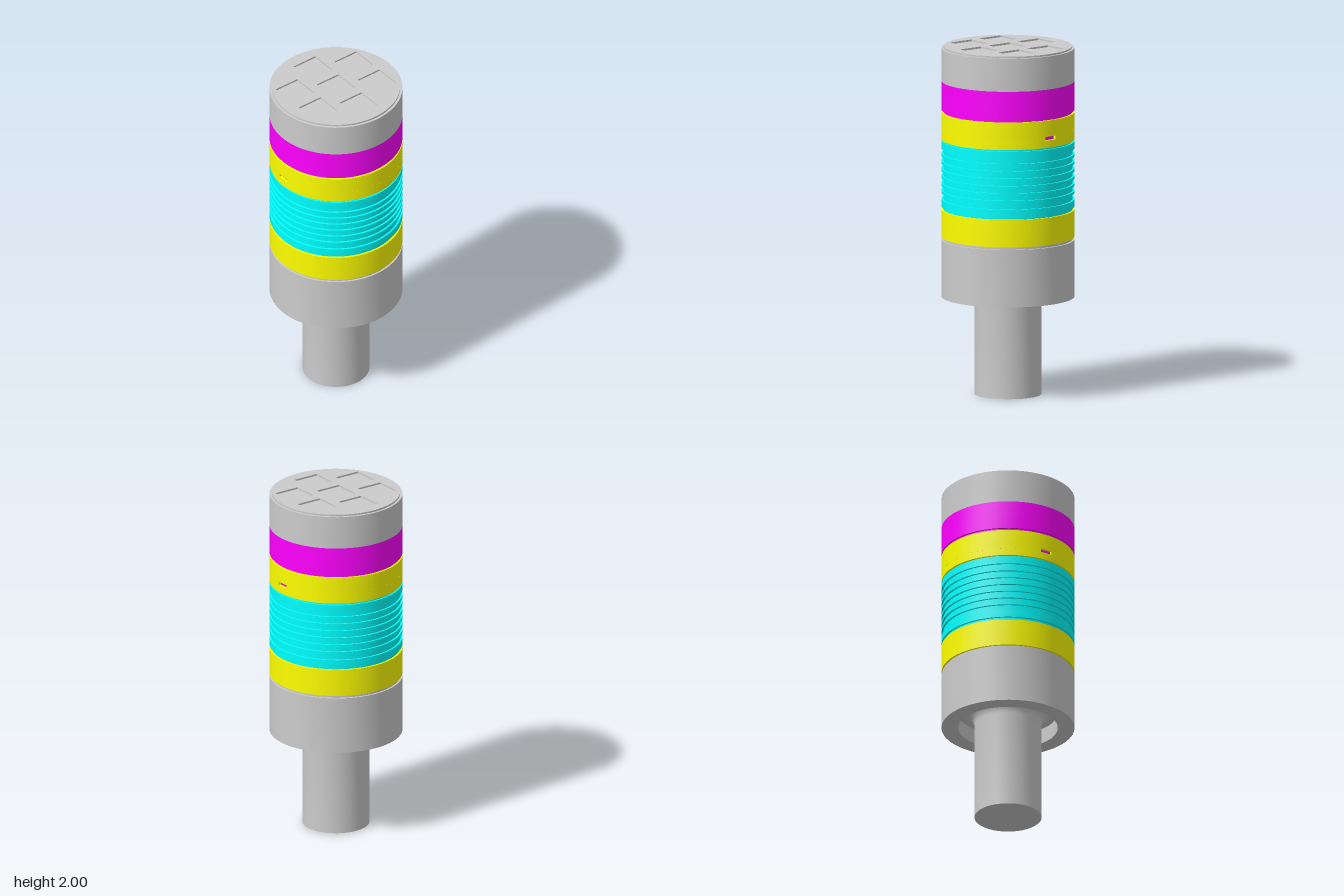
import * as THREE from 'three';
import { toCreasedNormals } from 'three/addons/utils/BufferGeometryUtils.js';

const SEG = 64;
const R = 0.377;      // outer radius of the bands
const GROOVE = 0.366; // radius inside the grooves

const grey = new THREE.MeshStandardMaterial({ color: 0xcccccc });
const magenta = new THREE.MeshStandardMaterial({ color: 0xff00ff });
const yellow = new THREE.MeshStandardMaterial({ color: 0xffff00 });
const cyan = new THREE.MeshStandardMaterial({ color: 0x00ffff });

export function createModel() {
  const group = new THREE.Group();

  function add(name, geometry, material, y = 0) {
    const mesh = new THREE.Mesh(toCreasedNormals(geometry, 0.5), material);
    mesh.name = name;
    mesh.position.y = y;
    group.add(mesh);
    return mesh;
  }

  // Closed band between two heights
  function band(name, y0, y1, radius, material) {
    return add(name, new THREE.CylinderGeometry(radius, radius, y1 - y0, SEG), material, (y0 + y1) / 2);
  }

  // Flat shape in the x/z plane, raised from y0 to y1
  function slab(name, shape, y0, y1, material) {
    const geometry = new THREE.ExtrudeGeometry(shape, { depth: y1 - y0, bevelEnabled: false, curveSegments: SEG });
    geometry.rotateX(-Math.PI / 2);
    return add(name, geometry, material, y0);
  }

  // Stem with a fillet running into the recessed underside of the lower body
  const profile = [[0, 0], [0.19, 0]];
  for (let i = 0; i <= 8; i++) {
    const a = (i / 8) * Math.PI / 2;
    profile.push([0.27 - 0.08 * Math.cos(a), 0.57 + 0.08 * Math.sin(a)]);
  }
  profile.push([0.282, 0.65], [0.282, 0.56], [R, 0.56], [R, 0.89], [0, 0.89]);
  add('stemAndLowerBody', new THREE.LatheGeometry(profile.map(p => new THREE.Vector2(...p)), SEG), grey);

  // Lower collar between two grooves
  band('lowerGroove', 0.89, 0.905, GROOVE, grey);
  band('lowerCollar', 0.905, 1.063, R, yellow);

  // Ribbed grip
  band('gripCore', 1.063, 1.465, GROOVE, cyan);
  band('gripLowerBand', 1.079, 1.122, R, cyan);
  band('gripUpperBand', 1.413, 1.455, R, cyan);
  for (let i = 0; i < 6; i++) {
    const y = 1.164 + i * 0.0424;
    band('gripRib', y - 0.008, y + 0.008, R, cyan);
  }

  // Upper collar, with a narrow slot at front and back showing the core
  const slotAngle = Math.asin(0.037 / R);
  band('upperCollarBottom', 1.465, 1.508, R, yellow);
  band('upperCollarTop', 1.529, 1.622, R, yellow);
  band('slotCore', 1.508, 1.529, 0.362, magenta);
  for (const start of [-Math.PI / 2, Math.PI / 2]) {
    const a0 = start + slotAngle, a1 = start + Math.PI - slotAngle;
    const arc = new THREE.Shape();
    arc.absarc(0, 0, R, a0, a1, false);
    arc.absarc(0, 0, 0.35, a1, a0, true);
    slab('upperCollarSide', arc, 1.508, 1.529, yellow);
  }

  // Magenta ring and head
  band('ringGroove', 1.622, 1.634, GROOVE, magenta);
  band('ring', 1.634, 1.8, R, magenta);
  band('head', 1.8, 1.99, R, grey);

  // Top plate with seven square pockets
  const plate = new THREE.Shape().absarc(0, 0, 0.363, 0, Math.PI * 2, false);
  const h = 0.078;
  for (const [row, xs] of [[-1, [-0.107, 0.107]], [0, [-0.213, 0, 0.213]], [1, [-0.107, 0.107]]]) {
    for (const x of xs) {
      const z = row * 0.212;
      plate.holes.push(new THREE.Path([[-h, -h], [-h, h], [h, h], [h, -h]]
        .map(([dx, dz]) => new THREE.Vector2(x + dx, z + dz))));
    }
  }
  slab('topPlate', plate, 1.99, 2, grey);

  return group;
}
